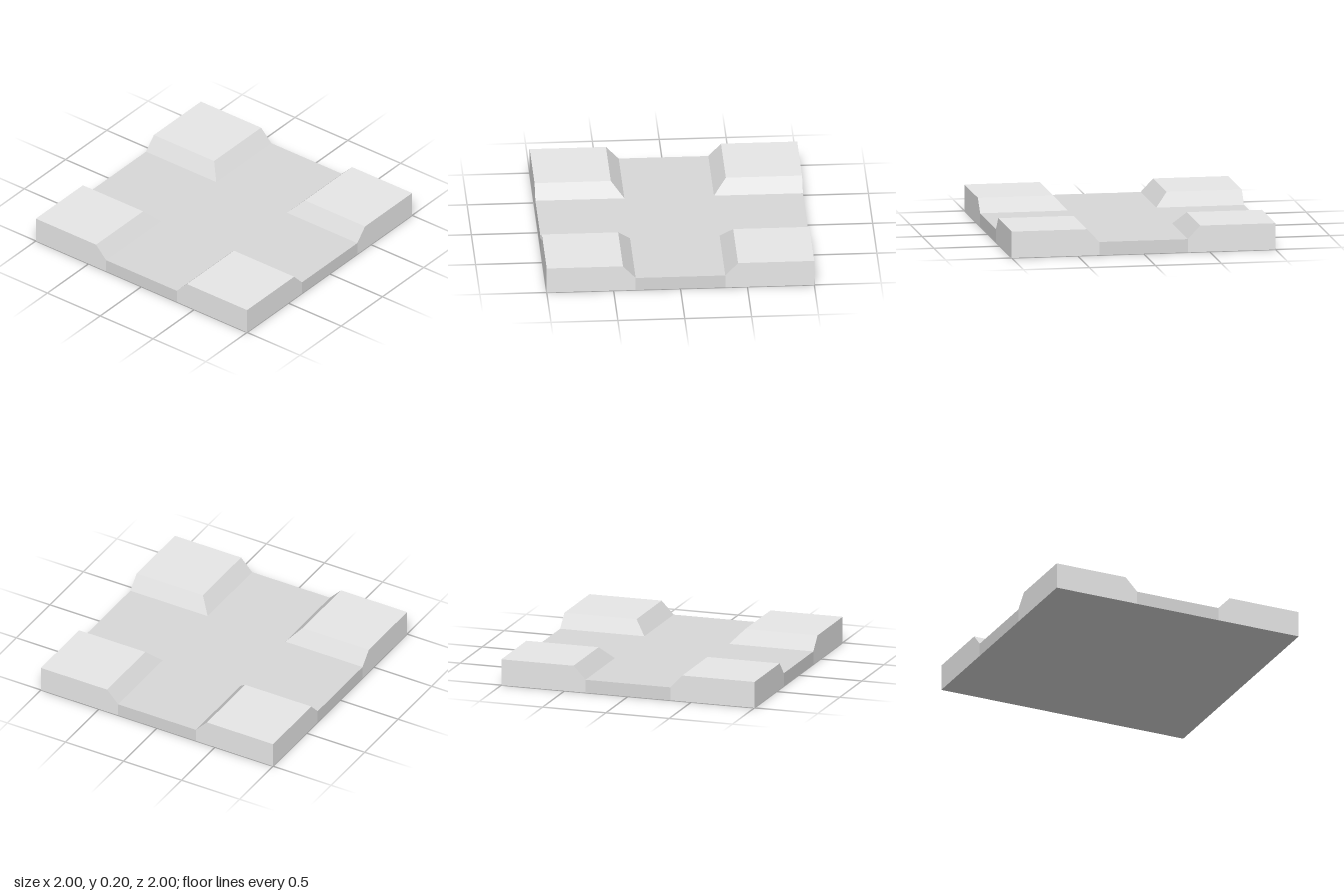
import * as THREE from 'three';

const HALF = 1, INNER = 0.335, LOW = 0.1, HIGH = 0.2, BEVEL = 0.095;

export function createModel() {
  const group = new THREE.Group();
  const floorGrey = new THREE.MeshStandardMaterial({ color: 0xd8d8d8 });
  floorGrey.name = 'floor grey';
  const blockGrey = new THREE.MeshStandardMaterial({ color: 0xf2f2f2 });
  blockGrey.name = 'block light grey';

  // Low cross-shaped floor with four arms
  const a = INNER, h = HALF;
  const cross = new THREE.Shape([
    [-a, -h], [a, -h], [a, -a], [h, -a], [h, a], [a, a],
    [a, h], [-a, h], [-a, a], [-h, a], [-h, -a], [-a, -a],
  ].map(([x, y]) => new THREE.Vector2(x, y)));
  const floorGeometry = new THREE.ExtrudeGeometry(cross, { depth: LOW, bevelEnabled: false });
  floorGeometry.rotateX(-Math.PI / 2);
  const floor = new THREE.Mesh(floorGeometry, floorGrey);
  floor.name = 'crossFloor';
  group.add(floor);

  // Raised corner block: slopes down to the floor on its two inner sides
  const cornerBlock = (sx, sz) => {
    const size = HALF - INNER, mid = (HALF + INNER) / 2;
    const box = new THREE.BoxGeometry(size, HIGH, size, 1, 2, 1);
    box.translate(sx * mid, HIGH / 2, sz * mid);
    const p = box.attributes.position;
    for (let i = 0; i < p.count; i++) {
      if (p.getY(i) < HIGH - 0.01) continue;
      if (Math.abs(p.getX(i)) < mid) p.setX(i, sx * (INNER + BEVEL));
      if (Math.abs(p.getZ(i)) < mid) p.setZ(i, sz * (INNER + BEVEL));
    }
    const geometry = box.toNonIndexed();
    geometry.computeVertexNormals();
    // Face order: +x, -x, +y, -y, +z, -z; slopes and underside match the floor
    const outer = (isOuter) => (isOuter ? blockGrey : floorGrey);
    const block = new THREE.Mesh(geometry, [
      outer(sx > 0), outer(sx < 0), blockGrey, floorGrey, outer(sz > 0), outer(sz < 0),
    ]);
    block.name = `${sz > 0 ? 'front' : 'back'}${sx > 0 ? 'Left' : 'Right'}CornerBlock`;
    return block;
  };
  for (const sx of [-1, 1]) for (const sz of [-1, 1]) group.add(cornerBlock(sx, sz));

  return group;
}
